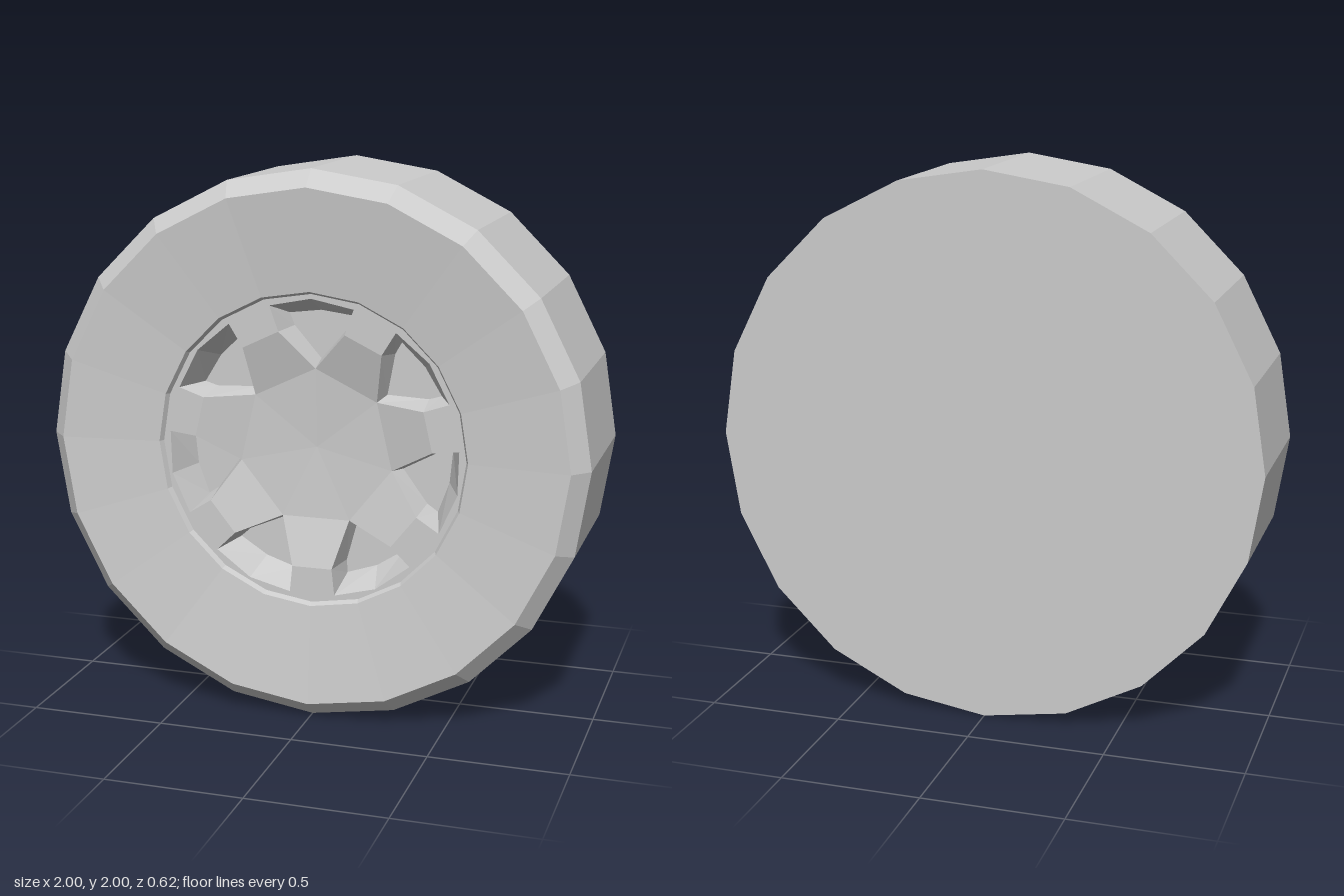
import * as THREE from 'three';

const SIDES = 20, WINDOWS = 7;
const material = new THREE.MeshStandardMaterial({ color: 0xcccccc, flatShading: true });

// Rotate a point about the axle into window sector i
function place([x, y, z], i) {
  const a = (i * 2 * Math.PI) / WINDOWS;
  return [x * Math.cos(a) - y * Math.sin(a), x * Math.sin(a) + y * Math.cos(a), z];
}

// Mesh from convex faces listed counter-clockwise
function facesMesh(name, faces) {
  const pos = [];
  for (const f of faces)
    for (let k = 1; k < f.length - 1; k++) pos.push(...f[0], ...f[k], ...f[k + 1]);
  const g = new THREE.BufferGeometry();
  g.setAttribute('position', new THREE.Float32BufferAttribute(pos, 3));
  g.computeVertexNormals();
  const m = new THREE.Mesh(g, material);
  m.name = name;
  return m;
}

export function createModel() {
  const wheel = new THREE.Group();
  wheel.name = 'wheel';

  // Tyre: closed back, straight tread, chamfer, slightly dished sidewall, rim lip
  const rimZ = 0.25, rimR = 0.565;
  const profile = [[0, -0.31], [1, -0.31], [1, 0.245], [0.94, 0.31], [0.575, 0.27], [rimR, rimZ]]
    .map(([r, z]) => new THREE.Vector2(r, z));
  const tyre = new THREE.Mesh(new THREE.LatheGeometry(profile, SIDES).rotateX(Math.PI / 2), material);
  tyre.name = 'tyre';
  wheel.add(tyre);

  // Window opening and its smaller floor: tip, right low, right top, mid, left top, left low
  const tipZ = 0.2, floorZ = 0.13;
  const opening = [[0, 0.29, tipZ], [0.122, 0.425, rimZ], [0.155, 0.517, rimZ],
    [0, 0.548, rimZ], [-0.155, 0.517, rimZ], [-0.122, 0.425, rimZ]];
  const floor = [[0, 0.315, floorZ], [0.1, 0.43, floorZ], [0.118, 0.475, floorZ],
    [0, 0.49, floorZ], [-0.118, 0.475, floorZ], [-0.1, 0.43, floorZ]];

  const hub = [], spokes = [], walls = [], floors = [], holePoints = [];
  for (let i = 0; i < WINDOWS; i++) {
    const o = opening.map((p) => place(p, i));
    const f = floor.map((p) => place(p, i));
    const next = opening.map((p) => place(p, i + 1));
    hub.push([[0, 0, 0.185], o[0], next[0]]);
    spokes.push([o[0], o[5], next[1], next[0]]);
    floors.push(f);
    for (let k = 0; k < 6; k++) {
      const n = (k + 1) % 6;
      walls.push([o[k], o[n], f[n], f[k]]);
    }
    holePoints.push(...o.slice(1).map(([x, y]) => new THREE.Vector2(x, y)));
  }

  // Flat rim face around the windows and spoke ends
  const outline = Array.from({ length: SIDES }, (_, i) => {
    const a = (i * 2 * Math.PI) / SIDES;
    return new THREE.Vector2(rimR * Math.cos(a), rimR * Math.sin(a));
  });
  const rimShape = new THREE.Shape(outline);
  rimShape.holes.push(new THREE.Path(holePoints));
  const rim = new THREE.Mesh(new THREE.ShapeGeometry(rimShape), material);
  rim.position.z = rimZ;
  rim.name = 'rimFace';

  wheel.add(rim, facesMesh('hub', hub), facesMesh('spokes', spokes),
    facesMesh('windowWalls', walls), facesMesh('windowFloors', floors));

  wheel.position.y = 1;
  const model = new THREE.Group();
  model.name = 'wheelModel';
  model.add(wheel);
  return model;
}
